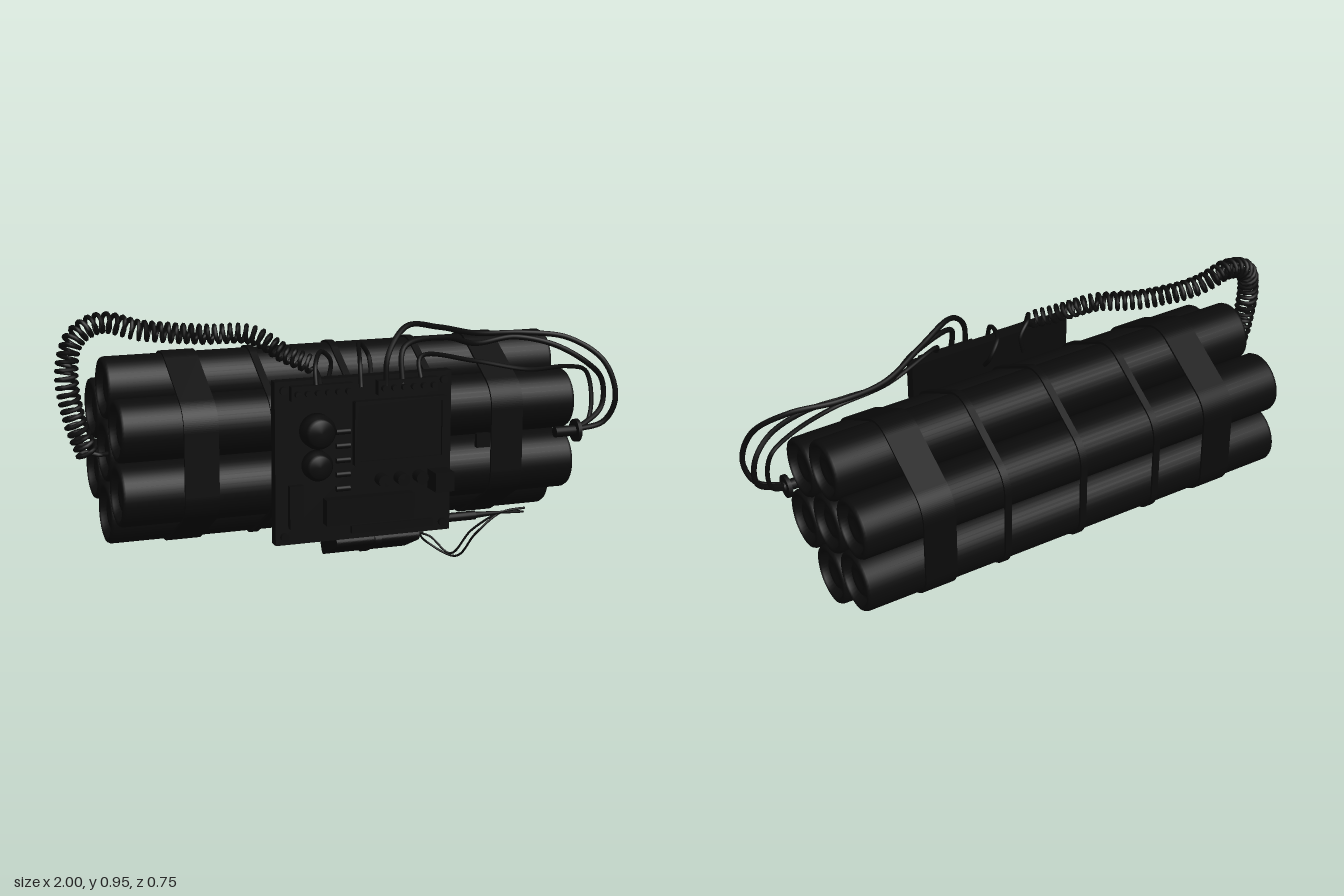
import * as THREE from 'three';

const mat = new THREE.MeshStandardMaterial({ color: 0x0b0b0b });
mat.name = 'near black';
const V = (p) => new THREE.Vector3(...p);

// centre of the tube bundle and hexagonal spacing
const CY = 0.457, CZ = -0.063, PITCH = 0.223;

export function createModel() {
  const root = new THREE.Group();
  root.name = 'wiredTubeBundle';

  const add = (name, geo, x = 0, y = 0, z = 0) => {
    const m = new THREE.Mesh(geo, mat);
    m.name = name;
    m.position.set(x, y, z);
    root.add(m);
    return m;
  };
  const box = (name, x, y, z, w, h, d) => add(name, new THREE.BoxGeometry(w, h, d), x, y, z);
  const rodX = (name, x, y, z, r0, r1, len) => {
    const m = add(name, new THREE.CylinderGeometry(r1, r0, len, 16), x, y, z);
    m.rotation.z = -Math.PI / 2;
    return m;
  };
  const wire = (name, pts, r = 0.008) => {
    const c = new THREE.CatmullRomCurve3(pts.map(V));
    return add(name, new THREE.TubeGeometry(c, pts.length * 10, r, 8), 0, 0, 0);
  };

  // seven tubes with rolled, recessed ends
  const end = [[0, 0.805], [0.03, 0.805], [0.033, 0.812], [0.055, 0.812], [0.058, 0.8],
    [0.08, 0.8], [0.086, 0.826], [0.094, 0.831], [0.103, 0.828], [0.108, 0.818]];
  const profile = [
    ...end.map(([r, h]) => new THREE.Vector2(r, -h)),
    ...end.slice().reverse().map(([r, h]) => new THREE.Vector2(r, h)),
  ];
  const tubeGeo = new THREE.LatheGeometry(profile, 40);
  const centres = [[CZ, CY]];
  for (let i = 0; i < 6; i++) {
    const a = Math.PI / 2 + i * Math.PI / 3;
    centres.push([CZ + PITCH * Math.cos(a), CY + PITCH * Math.sin(a)]);
  }
  for (const [z, y] of centres) add('tube', tubeGeo, 0, y, z).rotation.z = Math.PI / 2;

  // straps following the outline of the bundle
  const outline = (target, r) => {
    for (let i = 0; i < 6; i++) {
      const a = Math.PI / 2 + i * Math.PI / 3;
      target.absarc(PITCH * Math.cos(a), PITCH * Math.sin(a), r, a - Math.PI / 6, a + Math.PI / 6, false);
    }
    target.closePath();
    return target;
  };
  const strap = (name, x, width, r) => {
    const s = outline(new THREE.Shape(), r);
    s.holes.push(outline(new THREE.Path(), 0.1075));
    const g = new THREE.ExtrudeGeometry(s, { depth: width, bevelEnabled: false, curveSegments: 10 });
    g.translate(0, 0, -width / 2);
    g.rotateY(Math.PI / 2);
    add(name, g, x, CY, CZ);
  };
  for (const x of [-0.56, 0.56]) strap('wideStrap', x, 0.12, 0.116);
  for (const x of [-0.3, 0, 0.3]) strap('thinStrap', x, 0.025, 0.116);
  box('strapBuckle', 0.47, 0.46, 0.235, 0.05, 0.05, 0.02);

  // circuit board
  box('board', 0, 0.45, 0.277, 0.64, 0.57, 0.042);
  for (const x of [-0.29, 0.29]) for (const y of [0.195, 0.705]) {
    add('boardScrew', new THREE.CylinderGeometry(0.014, 0.014, 0.016, 12), x, y, 0.304).rotation.x = Math.PI / 2;
  }

  // terminal strips along the top edge
  for (const x0 of [-0.26, 0.05]) {
    box('terminalStrip', x0 + 0.1, 0.695, 0.312, 0.22, 0.05, 0.03);
    for (let i = 0; i < 6; i++) {
      add('terminalScrew', new THREE.CylinderGeometry(0.011, 0.011, 0.02, 10), x0 + 0.01 + i * 0.036, 0.695, 0.335)
        .rotation.x = Math.PI / 2;
    }
  }

  // two round dials
  for (const [y, r, d] of [[0.56, 0.06, 0.067], [0.44, 0.052, 0.055]]) {
    const p = [[0, 0], [r, 0], [r, d * 0.55], [r * 0.8, d * 0.65], [r * 0.75, d], [0, d]];
    add('dial', new THREE.LatheGeometry(p.map((q) => new THREE.Vector2(...q)), 28), -0.175, y, 0.298)
      .rotation.x = Math.PI / 2;
  }

  // display, frame bars, lower module and small parts
  box('display', 0.125, 0.54, 0.305, 0.31, 0.22, 0.02);
  for (const y of [0.435, 0.645]) box('displayFrame', 0.125, y, 0.311, 0.33, 0.015, 0.026);
  for (const x of [-0.035, 0.285]) box('displayFrame', x, 0.54, 0.311, 0.015, 0.22, 0.026);
  box('lowerModule', 0.01, 0.275, 0.318, 0.32, 0.09, 0.044);
  box('relay', 0.27, 0.357, 0.335, 0.07, 0.068, 0.08);
  box('sideChip', -0.25, 0.3, 0.308, 0.05, 0.15, 0.025);
  for (const x of [0.06, 0.13, 0.2]) {
    add('capacitor', new THREE.CylinderGeometry(0.022, 0.022, 0.05, 16), x, 0.37, 0.318).rotation.x = Math.PI / 2;
  }
  for (let i = 0; i < 5; i++) rodX('resistor', -0.08, 0.35 + i * 0.05, 0.307, 0.01, 0.01, 0.05);
  box('lowerEdgeStrip', 0.1, 0.2, 0.304, 0.3, 0.025, 0.018);

  // tilted box under the front lower edge
  const s = new THREE.Shape();
  const w = 0.09, h = 0.05, c = 0.018;
  s.absarc(w - c, h - c, c, 0, Math.PI / 2);
  s.absarc(-w + c, h - c, c, Math.PI / 2, Math.PI);
  s.absarc(-w + c, -h + c, c, Math.PI, Math.PI * 1.5);
  s.absarc(w - c, -h + c, c, Math.PI * 1.5, Math.PI * 2);
  const caseGeo = new THREE.ExtrudeGeometry(s, { depth: 0.31, bevelEnabled: false, curveSegments: 5 });
  caseGeo.translate(0, 0, -0.155);
  caseGeo.rotateZ(-0.43);
  caseGeo.rotateY(Math.PI / 2);
  add('lowerCase', caseGeo, 0.077, 0.13, 0.143);
  const bandGeo = caseGeo.clone().scale(0.08, 1.08, 1.08);
  add('caseBand', bandGeo, 0.075, 0.13, 0.143);
  rodX('caseConnector', 0.25, 0.1, 0.1, 0.022, 0.022, 0.04);
  rodX('caseConnectorTip', 0.28, 0.1, 0.1, 0.012, 0.01, 0.04);

  // side probe and its thin wires
  rodX('probe', 0.37, 0.2, 0.28, 0.016, 0.016, 0.11);
  rodX('probeTip', 0.47, 0.2, 0.28, 0.012, 0.006, 0.1);
  for (const k of [0, 1]) {
    wire('probeWire', [[0.5, 0.2, 0.28], [0.62, 0.21 - k * 0.02, 0.285 - k * 0.02], [0.54, 0.19, 0.25],
      [0.45, 0.12, 0.24 - k * 0.04], [0.41 - k * 0.02, 0.012 + k * 0.012, 0.15], [0.33, 0.05 + k * 0.03, 0.08 + k * 0.02],
      [0.28, 0.1, 0.1]], 0.004);
  }

  // coiled cable from the left tube end over to the board
  const path = new THREE.CatmullRomCurve3([[-0.9, 0.47, 0.02], [-0.945, 0.6, 0.025], [-0.965, 0.76, 0.02],
    [-0.93, 0.87, 0], [-0.84, 0.915, -0.015], [-0.7, 0.882, -0.01], [-0.5, 0.865, 0.04], [-0.34, 0.865, 0.11],
    [-0.25, 0.81, 0.19], [-0.17, 0.775, 0.25]].map(V));
  const TURNS = 48, STEPS = TURNS * 10;
  const frames = path.computeFrenetFrames(STEPS);
  const coilPts = [V([-0.82, 0.457, -0.02]), V([-0.86, 0.46, 0])];
  for (let i = 0; i <= STEPS; i++) {
    const t = i / STEPS, a = t * TURNS * Math.PI * 2;
    const r = 0.036 - 0.008 * t;
    coilPts.push(path.getPointAt(t)
      .addScaledVector(frames.normals[i], r * Math.cos(a))
      .addScaledVector(frames.binormals[i], r * Math.sin(a)));
  }
  coilPts.push(V([-0.16, 0.74, 0.29]), V([-0.16, 0.7, 0.31]));
  const coil = new THREE.CatmullRomCurve3(coilPts);
  coil.getPoint = (t, out = new THREE.Vector3()) => {
    const f = t * (coilPts.length - 1), i = Math.min(Math.floor(f), coilPts.length - 2);
    return out.lerpVectors(coilPts[i], coilPts[i + 1], f - i);
  };
  coil.arcLengthDivisions = 2000;
  add('coiledCable', new THREE.TubeGeometry(coil, 640, 0.008, 6));

  // long wires from the board to the right end
  wire('longWire', [[0.07, 0.7, 0.32], [0.08, 0.8, 0.31], [0.17, 0.888, 0.25], [0.32, 0.865, 0.18], [0.5, 0.82, 0.11],
    [0.68, 0.81, 0.1], [0.84, 0.79, 0.15], [0.95, 0.71, 0.22], [0.985, 0.58, 0.25], [0.95, 0.49, 0.23], [0.85, 0.46, 0.2]], 0.01);
  wire('longWire', [[0.13, 0.7, 0.32], [0.15, 0.82, 0.28], [0.34, 0.83, 0.2], [0.48, 0.79, 0.14],
    [0.64, 0.8, 0.12], [0.78, 0.77, 0.16], [0.9, 0.7, 0.19], [0.97, 0.63, 0.17], [0.97, 0.53, 0.17], [0.85, 0.455, 0.2]], 0.01);
  wire('longWire', [[0.2, 0.7, 0.32], [0.22, 0.78, 0.26], [0.45, 0.74, 0.2], [0.65, 0.7, 0.22],
    [0.83, 0.69, 0.17], [0.92, 0.66, 0.14], [0.935, 0.56, 0.16], [0.91, 0.48, 0.18], [0.85, 0.45, 0.2]], 0.008);
  rodX('endPlug', 0.82, 0.457, 0.2, 0.02, 0.02, 0.1);
  rodX('endPlugCollar', 0.855, 0.457, 0.2, 0.042, 0.042, 0.014);

  // short looping wires above the board
  for (const [x, top, z] of [[-0.14, 0.81, 0.2], [0.02, 0.82, 0.14]]) {
    wire('shortWire', [[x - 0.04, 0.7, 0.32], [x - 0.03, 0.78, 0.28], [x + 0.02, top, z],
      [x + 0.06, 0.77, z - 0.02], [x + 0.05, 0.7, 0.18]], 0.008);
  }
  return root;
}
